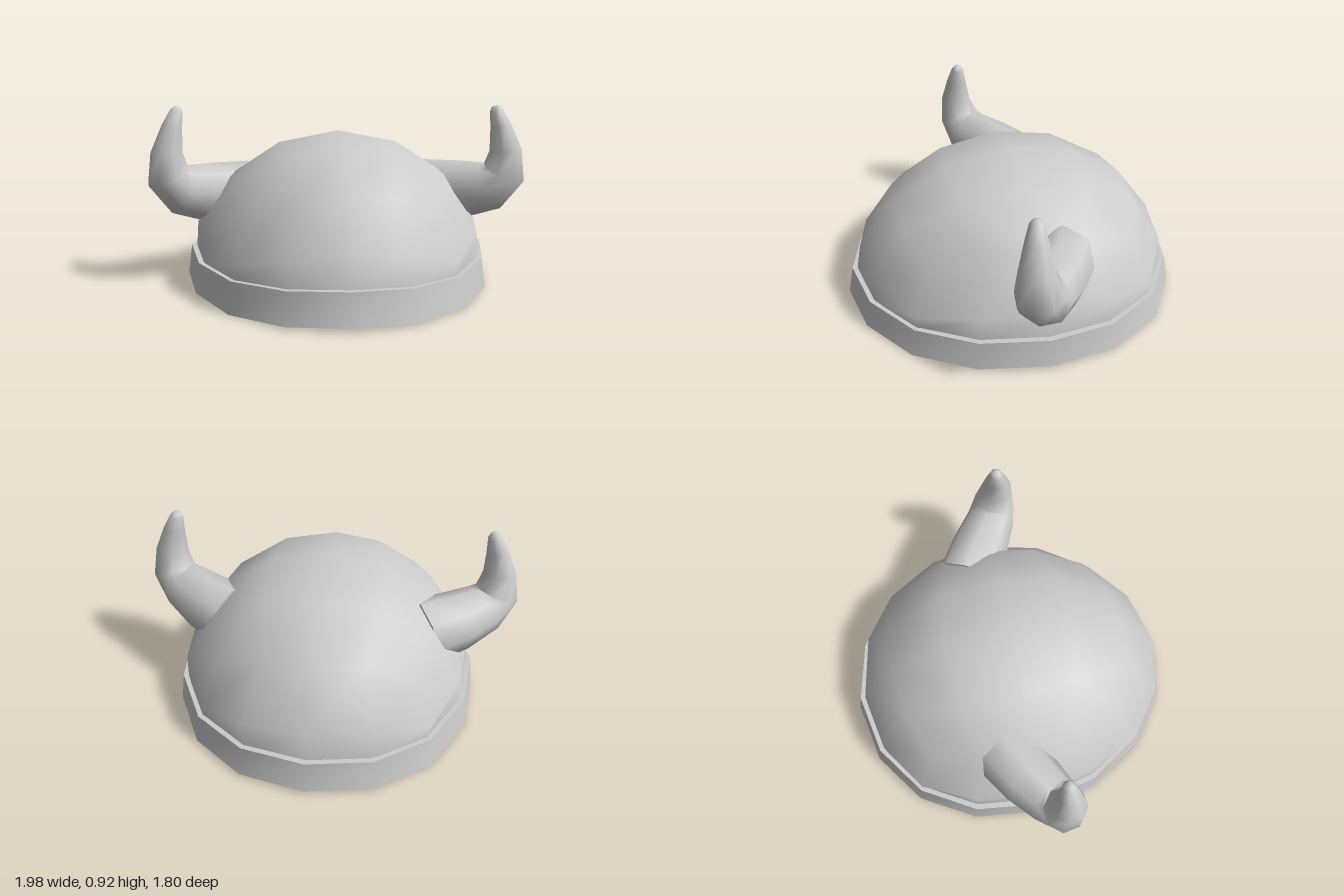
import * as THREE from 'three';
import { mergeVertices, toCreasedNormals } from 'three/addons/utils/BufferGeometryUtils.js';

const SIDES = 16;
const material = new THREE.MeshStandardMaterial({ color: 0xcccccc });

// The helmet is a little wider towards the back
const taper = (z) => 1 - 0.075 * z;

// Oval ring of points; its height dips gently at the diagonals
function ovalRing(rx, rz, y, wave = 0) {
  return Array.from({ length: SIDES }, (_, i) => {
    const a = (i / SIDES) * Math.PI * 2;
    const z = Math.cos(a) * rz;
    return new THREE.Vector3(Math.sin(a) * rx * taper(z), y + wave * Math.cos(4 * a), z);
  });
}

// Skin a list of closed rings, running counter-clockwise about the path
function loft(rings, capEnds, crease) {
  const n = rings[0].length;
  const points = rings.flat();
  const index = [];
  for (let i = 0; i < rings.length - 1; i++) {
    for (let j = 0; j < n; j++) {
      const a = i * n + j, b = i * n + ((j + 1) % n);
      index.push(a, b, b + n, a, b + n, a + n);
    }
  }
  if (capEnds) {
    const last = (rings.length - 1) * n;
    for (let j = 1; j < n - 1; j++) {
      index.push(0, j + 1, j, last, last + j, last + j + 1);
    }
  }
  const geometry = new THREE.BufferGeometry().setFromPoints(points);
  geometry.setIndex(index);
  return toCreasedNormals(geometry, crease);
}

// Upper half of a subdivided box, rounded into an ellipsoid
function domeGeometry() {
  const box = new THREE.BoxGeometry(2, 1, 2, 4, 2, 4).translate(0, 0.5, 0);
  const floor = box.groups[3];
  const index = Array.from(box.index.array);
  index.splice(floor.start, floor.count);
  box.setIndex(index);
  box.deleteAttribute('uv');
  box.deleteAttribute('normal');
  box.clearGroups();
  const geometry = mergeVertices(box.toNonIndexed());
  const pos = geometry.attributes.position;
  const p = new THREE.Vector3();
  const bend = (t) => Math.tan((t * Math.PI) / 4);
  for (let i = 0; i < pos.count; i++) {
    p.fromBufferAttribute(pos, i);
    const isRim = p.y < 0.01;
    p.set(bend(p.x), bend(p.y), bend(p.z)).normalize();
    if (isRim) p.set(p.x * 0.76, 0.14, p.z * 0.845);
    else p.multiply(new THREE.Vector3(0.81, 0.78, 0.88));
    pos.setXYZ(i, p.x * taper(p.z), p.y, p.z);
  }
  geometry.computeVertexNormals();
  return geometry;
}

// Horn: eight-sided rings swept along a bent path, side = 1 left, -1 right
function hornGeometry(side) {
  const path = [ // x, y, z, radius
    [0.5, 0.43, -0.13, 0.175],
    [0.68, 0.45, -0.03, 0.16],
    [0.82, 0.485, 0.06, 0.135],
    [0.88, 0.56, 0.095, 0.115],
    [0.88, 0.68, 0.11, 0.085],
    [0.85, 0.81, 0.105, 0.055],
    [0.825, 0.89, 0.1, 0.034],
    [0.817, 0.91, 0.1, 0.018],
  ];
  const centres = path.map(([x, y, z]) => new THREE.Vector3(x, y, z));
  const rings = path.map(([, , , r], i) => {
    const before = centres[Math.max(i - 1, 0)];
    const after = centres[Math.min(i + 1, path.length - 1)];
    const tangent = after.clone().sub(before).normalize();
    const u = new THREE.Vector3(-0.5, 0, 0.86);
    u.addScaledVector(tangent, -u.dot(tangent)).normalize();
    const v = tangent.clone().cross(u);
    const ring = Array.from({ length: 8 }, (_, j) => {
      const a = (j / 8) * Math.PI * 2;
      const p = centres[i].clone();
      p.addScaledVector(u, Math.cos(a) * r).addScaledVector(v, Math.sin(a) * r);
      p.x *= side;
      return p;
    });
    return side < 0 ? ring.reverse() : ring;
  });
  return loft(rings, true, 1.1);
}

export function createModel() {
  const model = new THREE.Group();
  model.name = 'hornedHelmet';
  const add = (name, geometry) => {
    const mesh = new THREE.Mesh(geometry, material);
    mesh.name = name;
    model.add(mesh);
  };

  add('dome', domeGeometry());

  // Flat floor closing the dome from below
  const outline = ovalRing(0.76, 0.845, 0).map((p) => new THREE.Vector2(p.x, p.z));
  add('domeFloor', new THREE.ShapeGeometry(new THREE.Shape(outline))
    .rotateX(Math.PI / 2).translate(0, 0.14, 0));

  // Flared rim band with its inner wall and lips
  const bottomOuter = ovalRing(0.807, 0.9, 0.01, 0.01);
  add('rimBand', loft([
    bottomOuter,
    ovalRing(0.786, 0.866, 0.16, 0.01),
    ovalRing(0.757, 0.837, 0.16, 0.01),
    ovalRing(0.785, 0.878, 0.01, 0.01),
    bottomOuter,
  ], false, 0.7));

  add('leftHorn', hornGeometry(1));
  add('rightHorn', hornGeometry(-1));
  return model;
}
